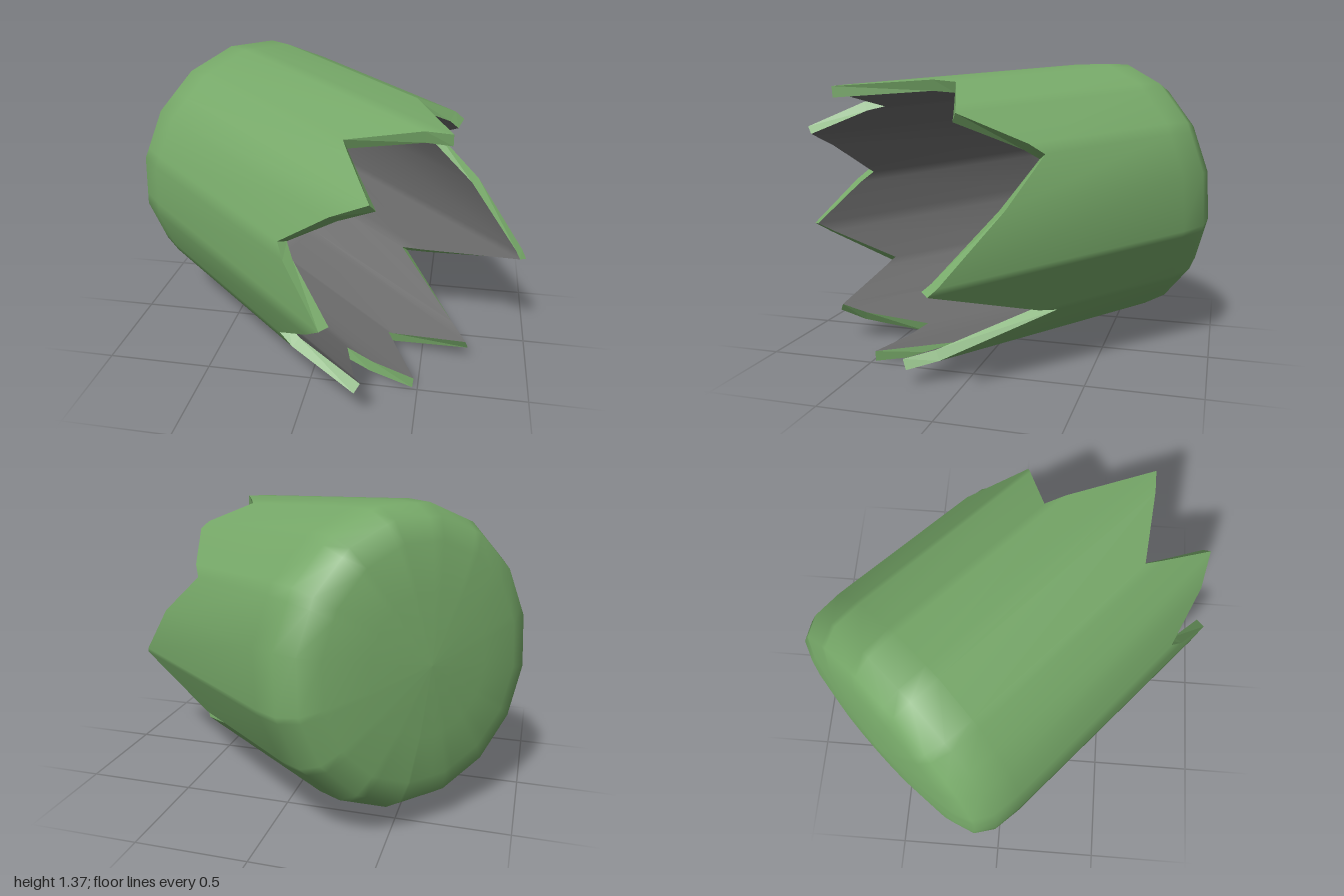
import * as THREE from 'three';

const SIDES = 16, STEP = (Math.PI * 2) / SIDES, WALL = 0.05;

// Broken rim: [angle in degrees, height along the axis], alternating notches and points
const RIM = [
  [-150, 0.385], [-131, 0.74], [-106, 0.39], [-94, 0.725], [-80, 0.39], [-61, 0.73],
  [-38, 0.07], [-14, 0.75], [29, 0.13], [52, 0.45], [75, 0.313], [95, 0.8],
  [120, 0.46], [136, 0.794], [164, 0.44], [186, 0.756], [210, 0.385],
];

// Base profile from the centre to the wall: [radius, height along the axis]
const OUTER = [[0, -0.87], [0.3, -0.856], [0.5, -0.83], [0.595, -0.795], [0.648, -0.71], [0.66, -0.57]];
const INNER = OUTER.map(([r, s]) => [Math.max(0, r - WALL * (r / 0.66)), s + WALL * (1 - r / 0.66) + 0.015]);

function rimHeight(deg) {
  const i = Math.max(1, RIM.findIndex((p) => p[0] >= deg - 1e-6));
  const [a0, s0] = RIM[i - 1], [a1, s1] = RIM[i];
  return s0 + ((s1 - s0) * (deg - a0)) / (a1 - a0);
}

// Columns: the corners of the sided wall plus every notch and point
const columns = RIM.slice(0, -1).map((p) => p[0]);
for (let i = 0; i < SIDES; i++) {
  let deg = (i + 0.5) * 22.5;
  if (deg >= 210) deg -= 360;
  if (!columns.some((c) => Math.abs(c - deg) < 1)) columns.push(deg);
}
columns.sort((a, b) => a - b);

// Point on the sided wall, with flat facets between corners
function ringPoint(deg, r, s) {
  const a = THREE.MathUtils.degToRad(deg);
  const dev = (((a % STEP) + STEP) % STEP) - STEP / 2;
  const q = (r * Math.cos(STEP / 2)) / Math.cos(STEP / 2 - Math.abs(dev));
  return [q * Math.cos(a), q * Math.sin(a), s];
}

// Joins closed rings of points; flip turns the faces round
function loft(rings, flip) {
  const n = columns.length, index = [];
  for (let j = 0; j < rings.length - 1; j++) {
    for (let i = 0; i < n; i++) {
      const a = j * n + i, b = j * n + ((i + 1) % n), c = a + n, d = b + n;
      index.push(...(flip ? [a, c, b, b, c, d] : [a, b, c, b, d, c]));
    }
  }
  const geo = new THREE.BufferGeometry();
  geo.setAttribute('position', new THREE.Float32BufferAttribute(rings.flat(2), 3));
  geo.setIndex(index);
  geo.computeVertexNormals();
  return geo;
}

const rimRing = (r) => columns.map((d) => ringPoint(d, r, rimHeight(d)));

function shell(profile, rimRadius, flip) {
  const rings = profile.map(([r, s]) => columns.map((d) => ringPoint(d, Math.max(r, 1e-4), s)));
  rings.push(rimRing(rimRadius));
  return loft(rings, flip);
}

export function createModel() {
  const green = new THREE.MeshStandardMaterial({ color: 0x76a868 });
  const rimGreen = new THREE.MeshStandardMaterial({ color: 0x76a868, flatShading: true, side: THREE.DoubleSide });
  const grey = new THREE.MeshStandardMaterial({ color: 0x6a6a6a });

  const cup = new THREE.Group();
  cup.name = 'brokenShell';
  const add = (name, geo, mat) => {
    const mesh = new THREE.Mesh(geo, mat);
    mesh.name = name;
    cup.add(mesh);
  };
  add('outerWall', shell(OUTER, 0.65, false), green);
  add('innerWall', shell(INNER, 0.65 - WALL, true), grey);
  add('jaggedRim', loft([rimRing(0.65), rimRing(0.65 - WALL)], false).toNonIndexed(), rimGreen);

  // Lay the shell on its side, mouth towards the front left
  const axis = new THREE.Vector3(0.743, -0.07, 0.665).normalize();
  const across = new THREE.Vector3(0.667, 0, -0.745).normalize();
  const up = new THREE.Vector3().crossVectors(axis, across).normalize();
  across.crossVectors(up, axis);
  cup.quaternion.setFromRotationMatrix(new THREE.Matrix4().makeBasis(across, up, axis));
  cup.position.set(0, 0.685, 0);

  const model = new THREE.Group();
  model.name = 'model';
  model.add(cup);

  // Stand on the ground
  model.updateMatrixWorld(true);
  cup.position.y -= new THREE.Box3().setFromObject(model, true).min.y;
  return model;
}
